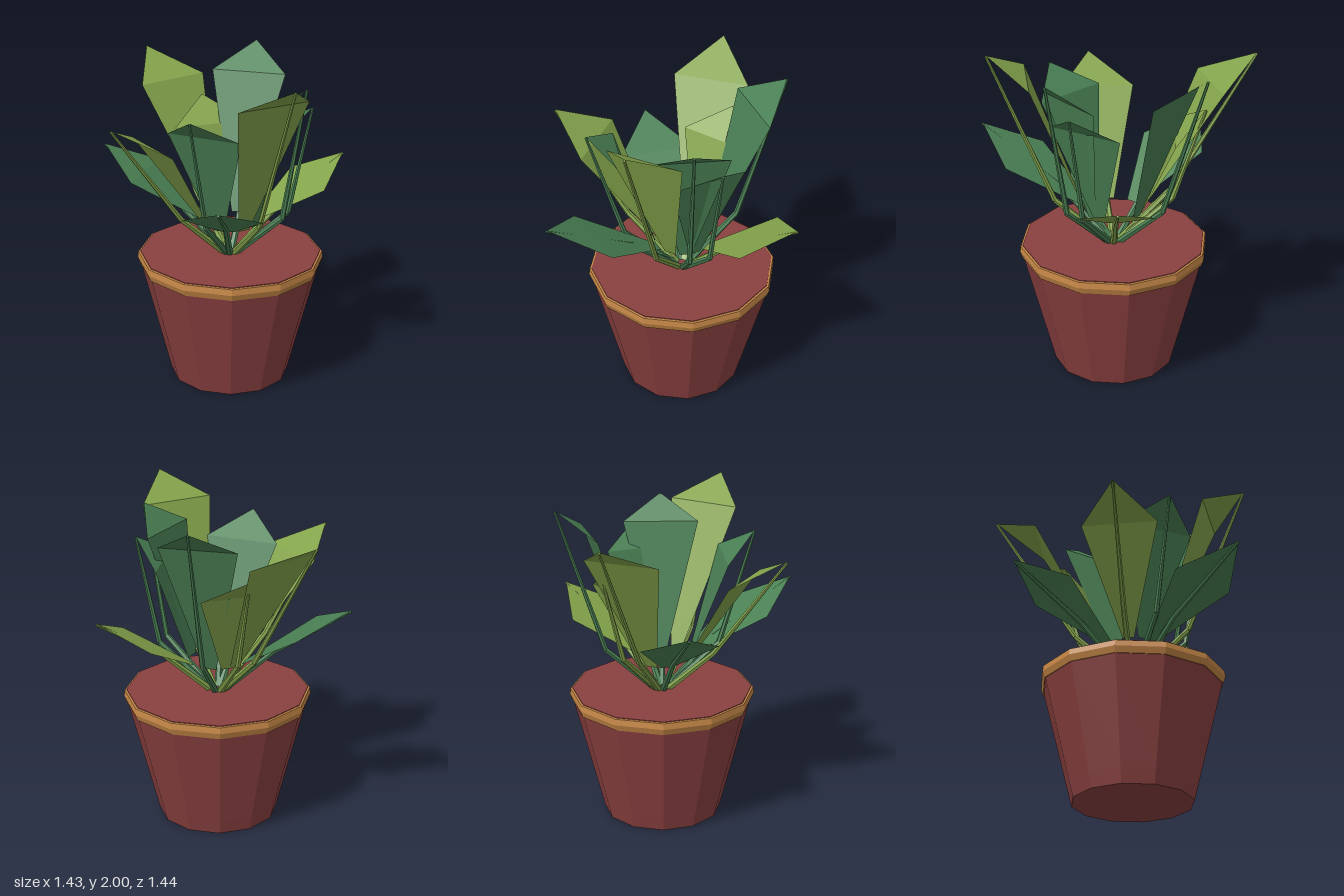
import * as THREE from 'three';

const AXIS_X = 0.095, AXIS_Z = -0.1; // pot axis
const UP = new THREE.Vector3(0, 1, 0);

function mat(name, color, side = THREE.FrontSide) {
  const m = new THREE.MeshStandardMaterial({ color, side });
  m.name = name;
  return m;
}

// Faceted copy of a geometry
function faceted(geometry) {
  const g = geometry.index ? geometry.toNonIndexed() : geometry;
  g.computeVertexNormals();
  return g;
}

function mesh(name, geometry, material) {
  const m = new THREE.Mesh(faceted(geometry), material);
  m.name = name;
  return m;
}

function lathe(name, profile, material) {
  return mesh(name, new THREE.LatheGeometry(profile.map(([r, y]) => new THREE.Vector2(r, y)), 12), material);
}

// Tapered six-sided rod from a to b
function rod(name, a, b, ra, rb, material) {
  const d = b.clone().sub(a);
  const m = mesh(name, new THREE.CylinderGeometry(rb, ra, d.length(), 6), material);
  m.position.copy(a).addScaledVector(d, 0.5);
  m.quaternion.setFromUnitVectors(UP, d.normalize());
  return m;
}

// Blade with narrow base, wide shoulder and pointed tip, creased at the shoulder.
// Leaf is built outwards along +x, then turned.
function blade(midR, midY, tipR, tipY, material) {
  const bw = 0.035, w = 0.23;
  const g = new THREE.BufferGeometry();
  g.setAttribute('position', new THREE.Float32BufferAttribute([
    0.165, 0.99, -bw, 0.165, 0.99, bw,
    midR, midY, w, midR, midY, -w,
    tipR, tipY, 0,
  ], 3));
  g.setIndex([0, 1, 2, 0, 2, 3, 3, 2, 4]);
  return mesh('blade', g, material);
}

function leaf(dx, dz, tipY, midR, midY, material) {
  const tipR = Math.hypot(dx, dz);
  const root = new THREE.Vector3(0.035, 0.79, 0);
  const bend = new THREE.Vector3(0.35, 1.08, 0);
  const tip = new THREE.Vector3(tipR, tipY - 0.006, 0);
  const g = new THREE.Group();
  g.add(
    rod('lowerStem', root, bend, 0.022, 0.017, material),
    rod('upperStem', bend, tip, 0.017, 0.008, material),
    blade(midR, midY, tipR, tipY, material),
  );
  g.rotation.y = Math.atan2(-dz, dx);
  return g;
}

export function createModel() {
  const clay = mat('redClay', 0x8a4040);
  const trim = mat('orangeTrim', 0xc48646);
  const lime = mat('limeLeaf', 0x84a44c, THREE.DoubleSide);
  const green = mat('greenLeaf', 0x4a8054, THREE.DoubleSide);

  const model = new THREE.Group();
  model.name = 'pottedPlant';
  const plant = new THREE.Group();
  plant.name = 'plantOnAxis';
  plant.position.set(AXIS_X, 0, AXIS_Z);
  model.add(plant);

  // Pot with closed base and filled top, plus a bevelled rim
  plant.add(
    lathe('pot', [[0, 0], [0.365, 0], [0.388, 0.09], [0.547, 0.72], [0.54, 0.79]], clay),
    lathe('soil', [[0.55, 0.79], [0.55, 0.802], [0, 0.802]], clay),
    lathe('rim', [[0.53, 0.72], [0.553, 0.72], [0.567, 0.758], [0.562, 0.795], [0.54, 0.8]], trim),
  );

  // Tip offset x, z, tip height, shoulder radius, shoulder height
  const limeLeaves = [
    [0.46, -0.597, 1.335, 0.512, 1.195],
    [-0.375, 0.71, 1.71, 0.54, 1.565],
    [0.608, 0.385, 2.0, 0.496, 1.855],
    [-0.798, -0.345, 1.9, 0.587, 1.75],
    [-0.4, -0.35, 1.645, 0.358, 1.5],
  ];
  const greenLeaves = [
    [-0.16, -0.616, 1.96, 0.434, 1.81],
    [0.043, 0.555, 1.78, 0.37, 1.635],
    [0.37, 0.81, 1.39, 0.6, 1.235],
    [0.49, 0, 1.9, 0.33, 1.76],
    [0.45, -0.165, 1.74, 0.32, 1.6],
    [-0.805, 0.14, 1.395, 0.552, 1.25],
  ];
  for (const [list, material, name] of [[limeLeaves, lime, 'limeLeaf'], [greenLeaves, green, 'greenLeaf']]) {
    list.forEach((p, i) => {
      const l = leaf(...p, material);
      l.name = name + (i + 1);
      plant.add(l);
    });
  }
  return model;
}
